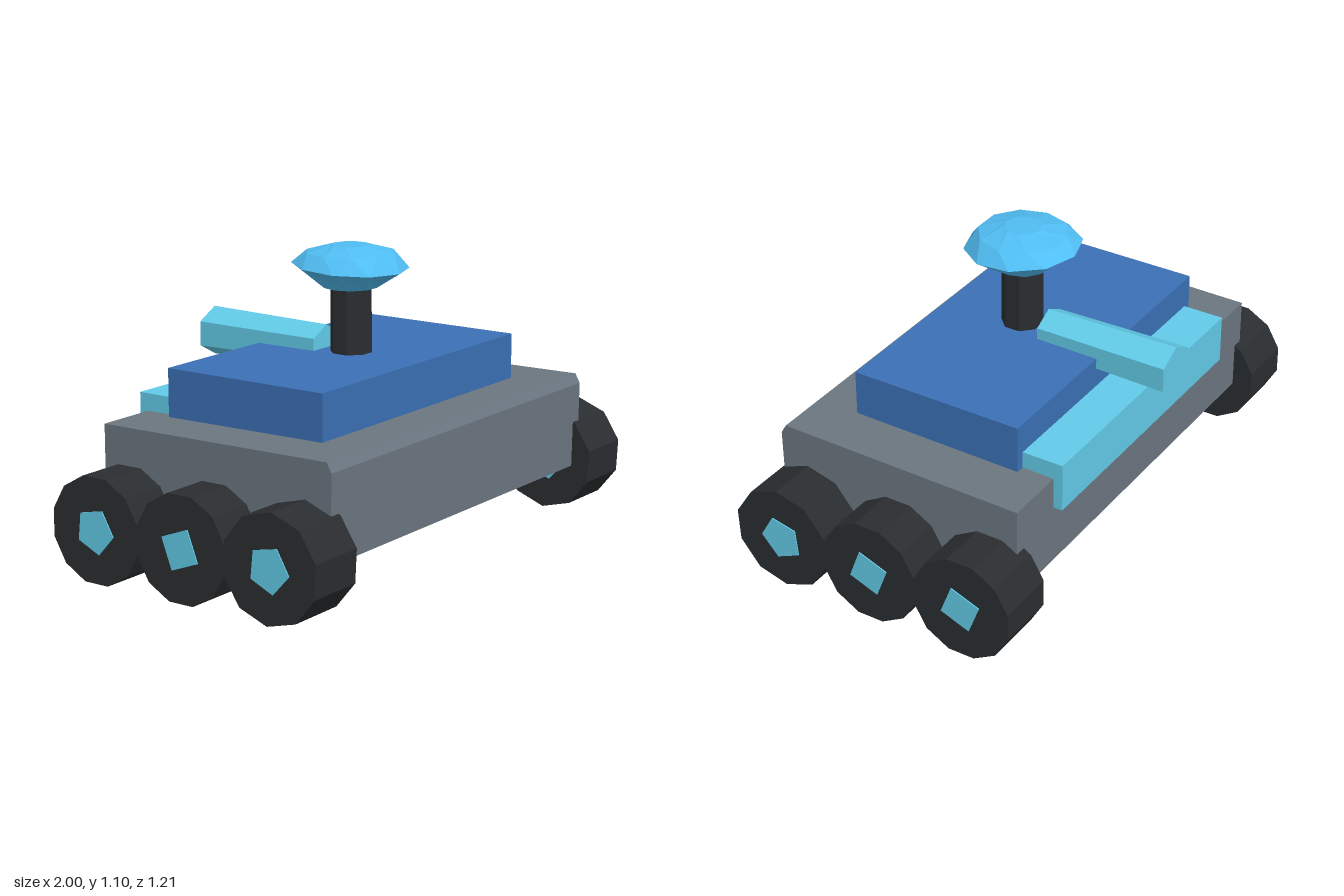
import * as THREE from 'three';

const paint = (color) => new THREE.MeshStandardMaterial({ color, flatShading: true });
const grey = paint(0x6b7680), blue = paint(0x3b70b5), cyan = paint(0x62cbe8);
const sky = paint(0x50bdf2), black = paint(0x2a2d30);

export function createModel() {
  const model = new THREE.Group();
  model.name = 'rover';

  function add(name, geometry, material, x, y, z, parent = model) {
    const mesh = new THREE.Mesh(geometry, material);
    mesh.name = name;
    mesh.position.set(x, y, z);
    parent.add(mesh);
    return mesh;
  }

  // Chassis: side profile (z, y) extruded across the width
  const profile = new THREE.Shape([
    [-0.455, 0.18], [0.525, 0.18], [0.53, 0.5], [0.51, 0.535], [-0.455, 0.525],
  ].map(([z, y]) => new THREE.Vector2(z, y)));
  const chassis = new THREE.ExtrudeGeometry(profile, { depth: 1.62, bevelEnabled: false });
  chassis.translate(0, 0, -0.81).rotateY(-Math.PI / 2);
  add('chassis', chassis, grey, 0, 0, 0);

  // Upper deck and rear beam
  add('deck', new THREE.BoxGeometry(1.215, 0.19, 0.675), blue, 0, 0.61, 0.0075);
  add('rearBeam', new THREE.BoxGeometry(1.15, 0.185, 0.18), cyan, 0, 0.4975, -0.4);

  // Tapered six-sided tube pointing backwards, a corner on top
  const tube = new THREE.CylinderGeometry(0.083, 0.0925, 0.525, 6);
  tube.rotateX(Math.PI / 2).scale(1.1, 1, 1);
  add('rearTube', tube, cyan, 0, 0.708, -0.3425);

  // Mast
  const mast = new THREE.CylinderGeometry(0.076, 0.078, 0.27, 8, 1, false, Math.PI / 8);
  add('mast', mast, black, -0.002, 0.825, 0.033);

  // Faceted head: a coarse lathe, each ring turned half a step from the last
  const rings = [[0, 0.945], [0.1, 0.945], [0.215, 1.025], [0.165, 1.075], [0.07, 1.1], [0, 1.1]];
  const sides = 10;
  const head = new THREE.LatheGeometry(rings.map(([r, y]) => new THREE.Vector2(r, y)), sides);
  const pos = head.attributes.position;
  const v = new THREE.Vector3();
  const up = new THREE.Vector3(0, 1, 0);
  for (let i = 0; i < pos.count; i++) {
    const ring = i % rings.length;
    v.fromBufferAttribute(pos, i).applyAxisAngle(up, (ring % 2) * Math.PI / sides);
    if (ring === 2) v.y += -0.06 * v.z; // rim tips down slightly at the front
    pos.setXYZ(i, v.x, v.y, v.z);
  }
  add('head', head, sky, -0.003, 0, 0.03);

  // Three wheels a side, hubs running right through
  const disc = (radius, width, n, start) =>
    new THREE.CylinderGeometry(radius, radius, width, n, 1, false, start).rotateZ(Math.PI / 2);
  const axles = [
    { name: 'front', z: 0.411, wheelSides: 10, hubSides: 5 },
    { name: 'middle', z: 0.035, wheelSides: 12, hubSides: 4 },
    { name: 'rear', z: -0.344, wheelSides: 12, hubSides: 4 },
  ];
  for (const [side, sign] of [['Left', 1], ['Right', -1]]) {
    for (const { name, z, wheelSides, hubSides } of axles) {
      const wheel = new THREE.Group();
      wheel.name = `${name}${side}Wheel`;
      wheel.position.set(sign * 0.882, 0.196, z);
      // the rear right hub is five-sided, like the front ones
      const n = name === 'rear' && sign < 0 ? 5 : hubSides;
      add('tyre', disc(0.198, 0.228, wheelSides, Math.PI / 12), black, 0, 0, 0, wheel);
      add('hub', disc(0.085, 0.236, n, 1.15), cyan, 0, 0, 0, wheel);
      model.add(wheel);
    }
  }
  return model;
}
